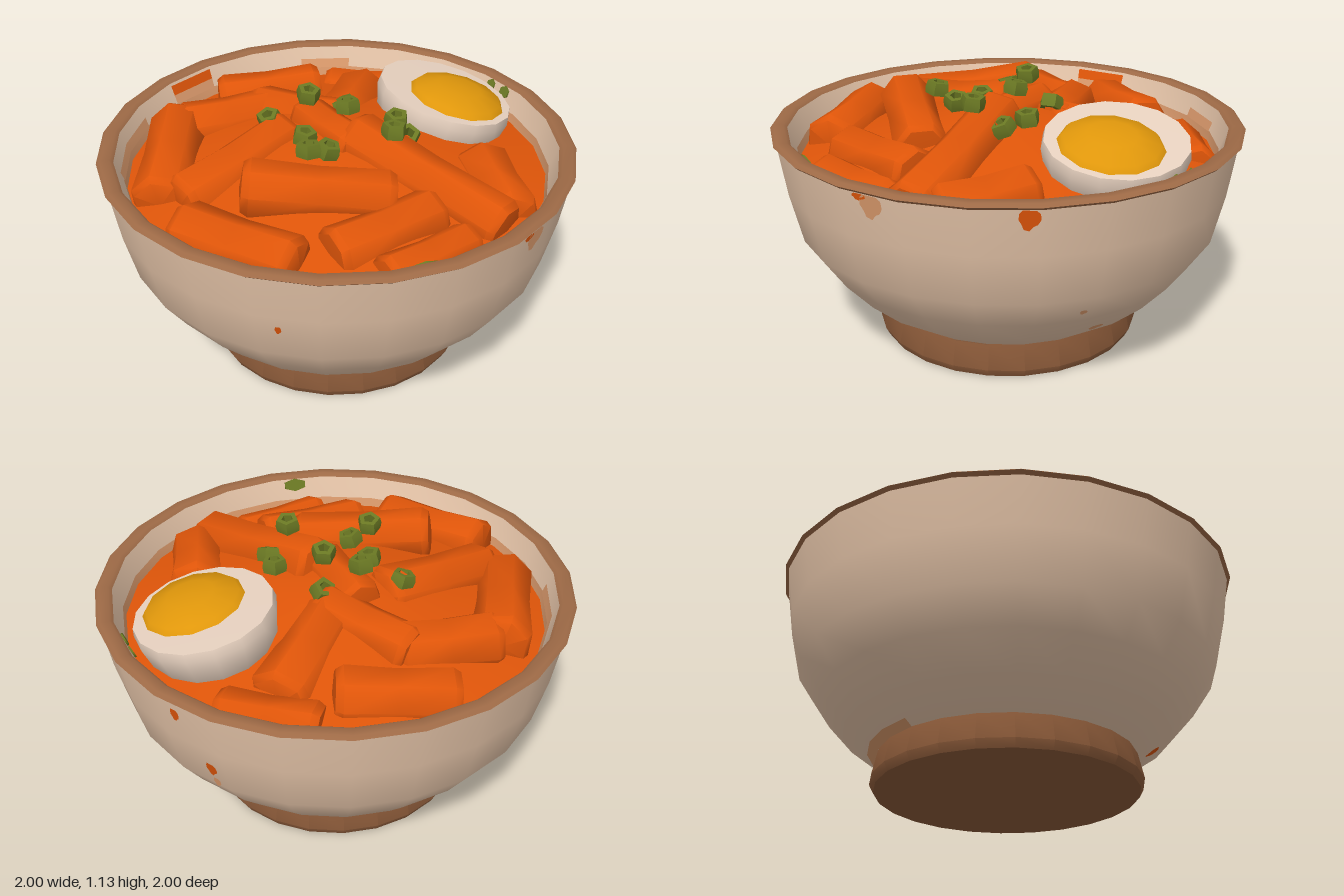
import * as THREE from 'three';
import { toCreasedNormals } from 'three/addons/utils/BufferGeometryUtils.js';

const paint = (name, color, side = THREE.FrontSide) => {
  const m = new THREE.MeshStandardMaterial({ color, side });
  m.name = name;
  return m;
};

const SIDES = 24;
const STEP = 2 * Math.PI / SIDES;
// outer wall of the bowl, [radius, height] from foot to rim
const WALL = [[0.55, 0.148], [0.7, 0.25], [0.815, 0.38], [0.905, 0.515], [0.955, 0.73], [0.985, 0.928]];

const lathe = (pts, sides = SIDES, crease = 0.7, start = 0, arc = 2 * Math.PI) =>
  toCreasedNormals(new THREE.LatheGeometry(pts.map(([r, y]) => new THREE.Vector2(r, y)), sides, start, arc), crease);

// part of a ring, counted in sides of the bowl
const arcBand = (pts, first, count) => lathe(pts, count, 0.7, first * STEP, count * STEP);

// radius of the faceted wall at height y and angle a
function wallRadius(y, a) {
  let i = 0;
  while (i < WALL.length - 2 && y > WALL[i + 1][1]) i++;
  const [r0, y0] = WALL[i], [r1, y1] = WALL[i + 1];
  const r = r0 + (r1 - r0) * (y - y0) / (y1 - y0);
  const local = ((a % STEP) + STEP) % STEP - STEP / 2;
  return r * Math.cos(STEP / 2) / Math.cos(local);
}

// thin sauce splash lying on the outer wall; a is measured from +z toward +x
function splash(a, y, w, h) {
  const outline = [1, 1.1, 1.15, 1, 1.2, 1.05, 0.95, 0.8, 1, 1, 0.7, 0.85];
  const at = (u, v) => {
    const yy = Math.min(y + v, 0.928), ang = a + u / wallRadius(y, a), r = wallRadius(yy, ang) + 0.008;
    return [Math.sin(ang) * r, yy - 0.002, Math.cos(ang) * r];
  };
  const pos = [];
  outline.forEach((k, i) => {
    const j = (i + 1) % outline.length, t = 2 * Math.PI / outline.length;
    const p = (n, s) => at(Math.cos(n * t) * w * s / 2, Math.sin(n * t) * h * s / 2);
    pos.push(...at(0, 0), ...p(i, k), ...p(j, outline[j]));
  });
  const g = new THREE.BufferGeometry();
  g.setAttribute('position', new THREE.Float32BufferAttribute(pos, 3));
  g.computeVertexNormals();
  return g;
}

export function createModel() {
  const model = new THREE.Group();
  model.name = 'stewBowl';

  const cream = paint('creamGlaze', 0xe5c4a8);
  const rimBrown = paint('rimBrown', 0x9e6a46);
  const footBrown = paint('footBrown', 0x8b5a39);
  const sauce = paint('redSauce', 0xdf5509);
  const stain = paint('paleStain', 0xdb9a6c);
  const white = paint('eggWhite', 0xe8d2c0);
  const yolkYellow = paint('yolk', 0xe0970b);
  const green = paint('scallionGreen', 0x6c7a24, THREE.DoubleSide);

  const add = (name, geo, mat, parent = model) => {
    const m = new THREE.Mesh(geo, mat);
    m.name = name;
    parent.add(m);
    return m;
  };

  // bowl
  add('foot', lathe([[0, 0.003], [0.56, 0.005], [0.578, 0.04], [0.553, 0.152], [0.53, 0.152]]), footBrown);
  add('outerWall', lathe(WALL), cream);
  add('rim', lathe([[0.985, 0.925], [1, 0.938], [0.985, 0.95], [0.945, 0.95], [0.93, 0.938]], SIDES, 1), rimBrown);
  add('innerWall', lathe([[0.93, 0.938], [0.896, 0.845]]), cream);
  add('sauceLine', lathe([[0.896, 0.845], [0.885, 0.8]]), stain);
  add('wallSauce', arcBand([[0.922, 0.928], [0.906, 0.885]], 12, 1), sauce);
  [[9, 1], [12, 1], [14, 2]].forEach(([first, count]) =>
    add('wallStain', arcBand([[0.906, 0.885], [0.891, 0.845]], first, count), stain));
  [[0, 2], [8, 4]].forEach(([first, count]) =>
    add('footStain', arcBand([[0.555, 0.148], [0.593, 0.173]], first, count), stain));

  // sauce heaped toward the middle
  add('sauceSurface', lathe([[0.89, 0.805], [0.72, 0.845], [0.5, 0.9], [0.25, 0.965], [0, 1.0]], SIDES, 1), sauce);

  // rice cakes: [start, end, radius]
  const cakes = [
    [[-0.8, 0.84, -0.02], [-0.6, 0.82, 0.48], 0.13],
    [[-0.55, 0.96, 0.05], [-0.08, 0.89, 0.45], 0.12],
    [[-0.48, 0.83, 0.5], [0.02, 0.85, 0.58], 0.12],
    [[0.02, 0.98, 0.06], [0.17, 0.81, 0.81], 0.125],
    [[0.45, 0.83, 0.4], [0.25, 0.8, 0.77], 0.13],
    [[-0.05, 0.82, -0.79], [0.37, 0.85, -0.53], 0.125],
    [[-0.34, 0.87, -0.67], [-0.75, 0.82, -0.22], 0.13],
    [[-0.38, 0.86, -0.62], [0.04, 0.87, -0.45], 0.125],
    [[-0.02, 0.88, -0.54], [0.14, 0.92, -0.1], 0.115],
    [[0.1, 0.88, -0.14], [0.54, 0.81, -0.42], 0.14],
    [[-0.1, 0.92, -0.18], [-0.7, 0.83, -0.16], 0.13],
    [[-0.4, 0.8, 0.71], [0.04, 0.79, 0.75], 0.1],
    [[0.46, 0.77, -0.62], [0.75, 0.77, -0.3], 0.12],
    [[-0.02, 0.96, 0.16], [0.02, 0.96, -0.24], 0.1],
  ];
  const riceCakes = new THREE.Group();
  riceCakes.name = 'riceCakes';
  model.add(riceCakes);
  const up = new THREE.Vector3(0, 1, 0);
  cakes.forEach(([s, e, r], i) => {
    const a = new THREE.Vector3(...s), b = new THREE.Vector3(...e);
    const h = a.distanceTo(b) / 2;
    const cake = add('riceCake', lathe([[0, -h], [r * 0.85, -h + 0.01], [r, -h + 0.04], [r * 0.92, 0],
      [r, h - 0.04], [r * 0.85, h - 0.01], [0, h]], 7, 0.95), sauce, riceCakes);
    cake.position.copy(a).add(b).multiplyScalar(0.5);
    cake.quaternion.setFromUnitVectors(up, b.sub(a).normalize());
    cake.rotateY(i * 0.9);
  });

  // halved egg, tipped toward the rim
  const egg = new THREE.Group();
  egg.name = 'halfEgg';
  egg.position.set(0.59, 0.985, 0.06);
  egg.rotation.set(0.13, 0, -0.18);
  model.add(egg);
  add('eggWhite', lathe([[0, -0.24], [0.2, -0.22], [0.265, -0.15], [0.292, -0.03], [0.285, 0.005], [0, 0.008]], 16),
    white, egg).scale.z = 1.08;
  const yolk = add('yolk', lathe([[0.215, 0.004], [0.195, 0.028], [0.1, 0.056], [0, 0.06]], 12, 1), yolkYellow, egg);
  yolk.position.set(0.01, 0, 0.06);

  // chopped scallion rings
  const scallions = new THREE.Group();
  scallions.name = 'scallions';
  model.add(scallions);
  const ring = lathe([[0.026, -0.028], [0.05, -0.028], [0.054, 0], [0.048, 0.028], [0.026, 0.028], [0.026, -0.028]], 5, 0.5);
  [[-0.18, 1.01, -0.23], [-0.02, 1.1, -0.16], [0.14, 1.01, -0.12], [-0.16, 1.01, -0.02], [0.05, 1.09, 0.01],
    [-0.27, 1.06, 0.14], [-0.17, 1.02, 0.14], [0.21, 1.02, 0.14], [0.05, 1.09, 0.29], [0.17, 1.0, 0.25]]
    .forEach((p, i) => {
      const s = add('scallionRing', ring, green, scallions);
      s.position.set(...p);
      s.rotation.set(Math.sin(i * 2.3) * 0.3, i * 1.1, Math.cos(i * 1.7) * 0.3);
    });

  // splashes on the outside: [angle, height, width, height, colour]
  [[0.74, 0.89, 0.08, 0.09, sauce], [0.14, 0.885, 0.1, 0.11, stain], [0.09, 0.915, 0.06, 0.03, sauce],
    [-0.95, 0.67, 0.025, 0.04, sauce], [-0.87, 0.19, 0.05, 0.04, sauce], [1.91, 0.87, 0.04, 0.06, sauce],
    [2.03, 0.62, 0.05, 0.07, sauce], [2.04, 0.545, 0.035, 0.05, stain], [1.15, 0.29, 0.07, 0.03, stain],
    [1.0, 0.44, 0.03, 0.025, stain], [1.92, 0.18, 0.05, 0.07, stain]]
    .forEach(([a, y, w, h, mat]) => add('splash', splash(a, y, w, h), mat));

  // scallion flecks stuck inside, just below the rim: [angle, length]
  [[-0.37, 1.9], [1.41, 1], [1.51, 0.8]].forEach(([a, stretch]) => {
    const fleck = add('rimFleck', new THREE.CylinderGeometry(0.03, 0.03, 0.008, 6), green);
    fleck.position.set(Math.sin(a) * 0.909, 0.913, Math.cos(a) * 0.909);
    fleck.rotation.set(-1.2, a, 0, 'YXZ');
    fleck.scale.set(stretch, 1, 1);
  });

  return model;
}
